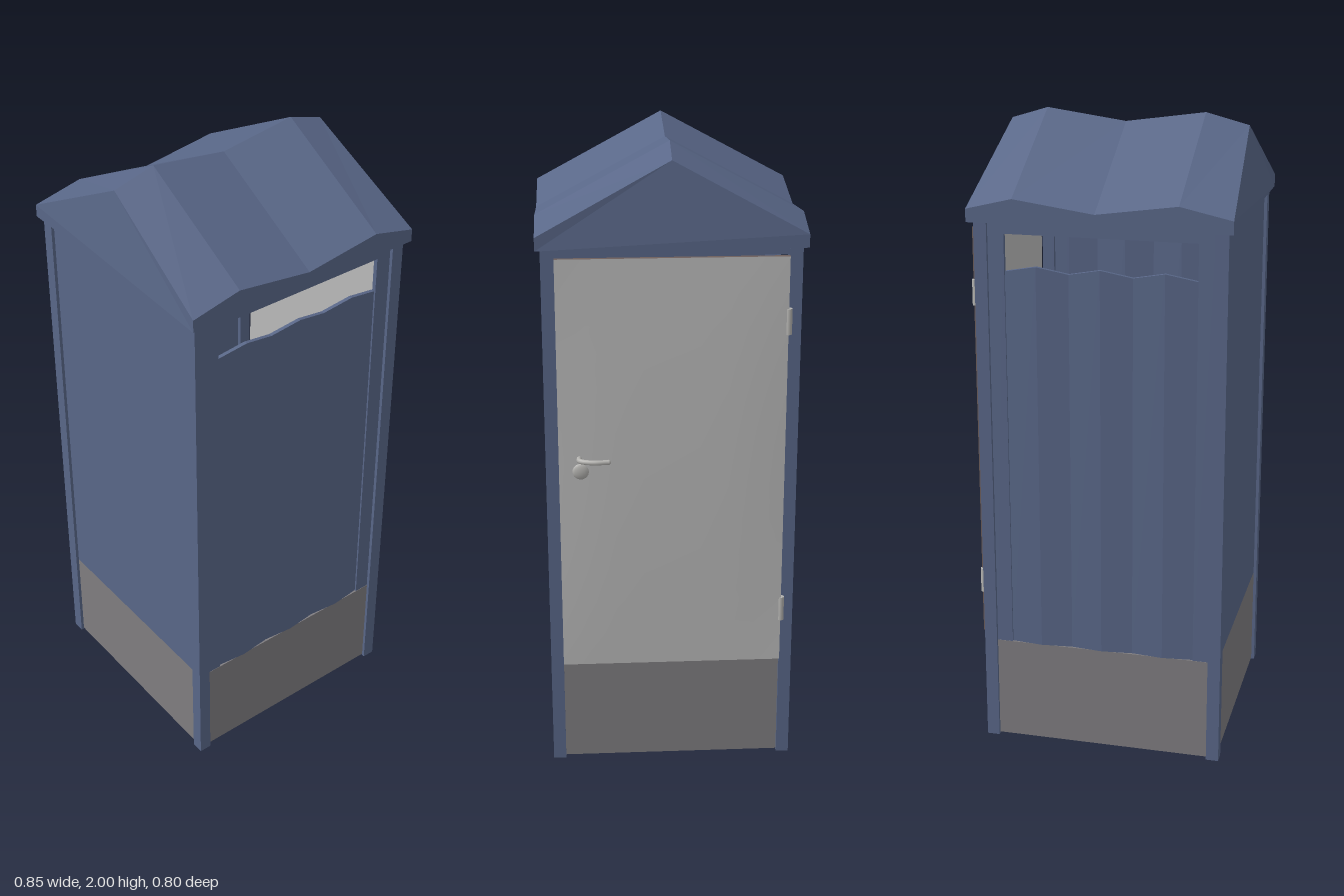
import * as THREE from 'three';

const mat = (name, color) => {
  const m = new THREE.MeshStandardMaterial({ color });
  m.name = name;
  return m;
};

export function createModel() {
  const root = new THREE.Group();
  root.name = 'cabin';
  const blue = mat('blue paint', 0x596788);
  const grey = mat('grey plinth', 0x7f7d80);
  const white = mat('door grey', 0xbababa);
  const metal = mat('metal', 0xb4b3b0);
  const brown = mat('door edge', 0x6e5f5c);

  const add = (name, geo, material, parent = root) => {
    const m = new THREE.Mesh(geo, material);
    m.name = name;
    parent.add(m);
    return m;
  };
  // Box given by its minimum and maximum on each axis
  const box = (name, [x0, x1], [y0, y1], [z0, z1], material) => {
    const m = add(name, new THREE.BoxGeometry(x1 - x0, y1 - y0, z1 - z0), material);
    m.position.set((x0 + x1) / 2, (y0 + y1) / 2, (z0 + z1) / 2);
    return m;
  };

  const CX = -0.025; // centre of the cabin body

  // Corner posts
  for (const [x0, x1] of [[-0.41, -0.37], [0.32, 0.36]]) {
    for (const [z0, z1] of [[0.345, 0.385], [-0.385, -0.345]]) {
      box('cornerPost', [x0, x1], [0, 1.71], [z0, z1], blue);
    }
  }

  // Plinth panels and floor
  box('frontPlinth', [-0.37, 0.32], [0.005, 0.34], [0.36, 0.375], grey);
  box('backPlinth', [-0.37, 0.32], [0.005, 0.34], [-0.375, -0.36], grey);
  box('rightPlinth', [-0.4, -0.385], [0.005, 0.34], [-0.345, 0.345], grey);
  box('leftPlinth', [0.335, 0.35], [0.005, 0.355], [-0.345, 0.345], grey);
  box('floor', [-0.385, 0.335], [0.39, 0.4], [-0.36, 0.36], grey);

  // Plain side wall and the header above the door
  box('rightWall', [-0.4, -0.385], [0.34, 1.71], [-0.345, 0.345], blue);
  box('doorHeader', [0.335, 0.355], [1.685, 1.71], [-0.345, 0.345], blue);

  // Folded sheet walls with a ventilation opening, front and back
  const foldedSheet = () => {
    const g = new THREE.BoxGeometry(0.59, 1.23, 0.012, 6, 1, 1);
    const p = g.attributes.position;
    for (let i = 0; i < p.count; i++) {
      const k = Math.round((p.getX(i) + 0.295) / 0.59 * 6);
      const peak = k % 2;
      p.setZ(i, p.getZ(i) + (peak ? 0.005 : -0.005));
      if (p.getY(i) > 0) p.setY(i, p.getY(i) + (peak ? 0.01 : -0.01));
    }
    const flat = g.toNonIndexed();
    flat.computeVertexNormals();
    return flat;
  };
  for (const s of [1, -1]) {
    const side = s > 0 ? 'front' : 'back';
    const z = [s * 0.367 - 0.007, s * 0.367 + 0.007];
    const sheet = add(side + 'Wall', foldedSheet(), blue);
    sheet.position.set(CX, 0.955, s * 0.367);
    if (s < 0) sheet.rotation.y = Math.PI;
    box(side + 'WallEdge', [-0.37, -0.32], [0.34, 1.71], z, blue);
    box(side + 'WallEdge', [0.27, 0.32], [0.34, 1.71], z, blue);
    box(side + 'Lintel', [-0.32, 0.27], [1.675, 1.71], z, blue);
  }

  // Wavy gable roof: five cross-sections along x
  const sections = [ // eave x, ridge x, eave y, ridge y
    [-0.425, -0.4, 1.75, 1.965],
    [-0.265, -0.265, 1.785, 2],
    [-0.015, -0.015, 1.75, 1.965],
    [0.235, 0.235, 1.785, 2],
    [0.378, 0.35, 1.75, 1.965],
  ].map(([xe, xr, ye, yr]) => [
    [xe, 1.71, 0.4], [xe, ye, 0.4], [xr, yr, 0], [xe, ye, -0.4], [xe, 1.71, -0.4],
  ]);
  const verts = [];
  const tri = (a, b, c) => verts.push(...a, ...b, ...c);
  for (let s = 0; s < 4; s++) {
    for (let j = 0; j < 5; j++) {
      const k = (j + 1) % 5, p = sections[s], q = sections[s + 1];
      tri(p[j], q[j], q[k]);
      tri(p[j], q[k], p[k]);
    }
  }
  for (let k = 1; k < 4; k++) {
    const p = sections[0], q = sections[4];
    tri(p[0], p[k], p[k + 1]);
    tri(q[0], q[k + 1], q[k]);
  }
  const roof = new THREE.BufferGeometry();
  roof.setAttribute('position', new THREE.Float32BufferAttribute(verts, 3));
  roof.computeVertexNormals();
  add('roof', roof, blue);

  // Slightly bulging door with darker edges
  const door = new THREE.BoxGeometry(0.014, 1.33, 0.69, 1, 12, 8);
  const dp = door.attributes.position;
  for (let i = 0; i < dp.count; i++) {
    const v = dp.getY(i) / 0.665, w = dp.getZ(i) / 0.345;
    dp.setX(i, dp.getX(i) + 0.009 * (1 - v * v) * (1 - w * w * w * w));
  }
  door.computeVertexNormals();
  add('door', door, [white, white, brown, brown, brown, brown]).position.set(0.37, 1.02, 0);

  // Door lever, lock plate and hinges
  const lever = new THREE.CatmullRomCurve3([
    [0.375, 1.065, 0.282], [0.4, 1.065, 0.282], [0.41, 1.065, 0.27],
    [0.419, 1.065, 0.235], [0.416, 1.065, 0.195],
  ].map((p) => new THREE.Vector3(...p)));
  add('doorLever', new THREE.TubeGeometry(lever, 20, 0.008, 8), metal);
  const tip = add('leverTip', new THREE.SphereGeometry(0.008, 8, 6), metal);
  tip.position.set(0.416, 1.065, 0.195);
  const lock = add('lockPlate', new THREE.SphereGeometry(0.026, 16, 10), metal);
  lock.scale.set(0.35, 1, 1);
  lock.position.set(0.38, 1.022, 0.278);
  for (const y of [1.485, 0.535]) {
    const hinge = add('hinge', new THREE.CylinderGeometry(0.01, 0.01, 0.08, 12), metal);
    hinge.position.set(0.371, y, -0.346);
  }
  return root;
}
